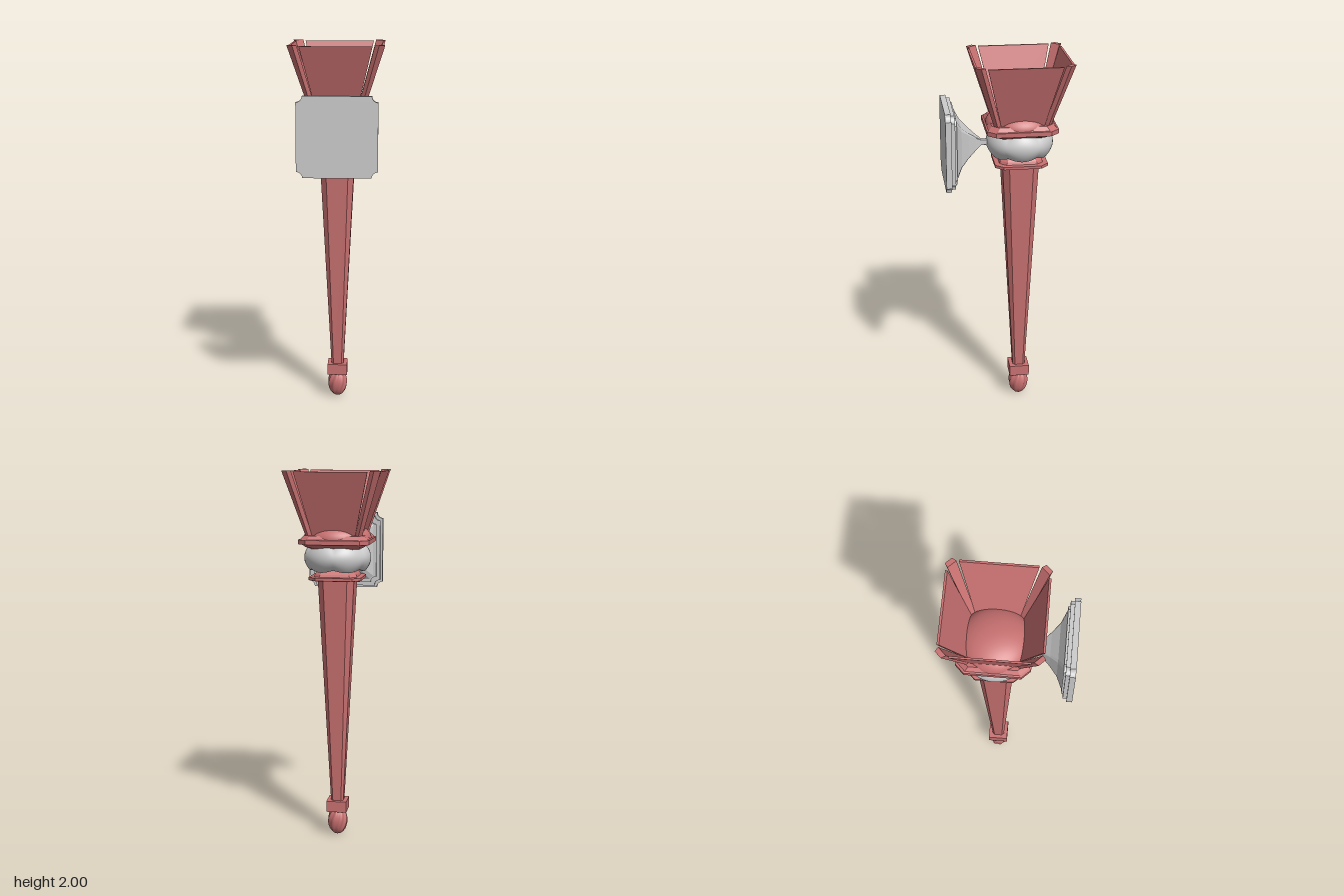
import * as THREE from 'three';

const red = new THREE.MeshStandardMaterial({ color: 0xc87070, flatShading: true });
const redSmooth = new THREE.MeshStandardMaterial({ color: 0xc87070, side: THREE.DoubleSide });
const grey = new THREE.MeshStandardMaterial({ color: 0xcccccc, flatShading: true });
const greySmooth = new THREE.MeshStandardMaterial({ color: 0xcccccc, side: THREE.DoubleSide });

const AXIS_Z = -0.075;   // torch axis
const MOUNT_X = 0.014;   // wall mount centre
const MOUNT_Y = 1.547;

function add(parent, name, geometry, material) {
  const mesh = new THREE.Mesh(geometry, material);
  mesh.name = name;
  parent.add(mesh);
  return mesh;
}

// Joins convex cross-sections (points ordered from +x towards +z), capped at both ends
function loft(rings) {
  const pos = [];
  const tri = (...pts) => pts.forEach((p) => pos.push(...p));
  const n = rings[0].length;
  for (let i = 0; i < rings.length - 1; i++) {
    for (let j = 0; j < n; j++) {
      const k = (j + 1) % n;
      const a = rings[i][j], b = rings[i][k], c = rings[i + 1][j], d = rings[i + 1][k];
      tri(a, c, b);
      tri(b, c, d);
    }
  }
  const bottom = rings[0], top = rings[rings.length - 1];
  for (let j = 1; j < n - 1; j++) {
    tri(bottom[0], bottom[j], bottom[j + 1]);
    tri(top[0], top[j + 1], top[j]);
  }
  const g = new THREE.BufferGeometry();
  g.setAttribute('position', new THREE.Float32BufferAttribute(pos, 3));
  g.computeVertexNormals();
  return g;
}

// Square section with cut corners: half size h, cut c, height y
function cutSquare(y, h, c) {
  const e = h - c;
  return [[h, -e], [h, e], [e, h], [-e, h], [-h, e], [-h, -e], [-e, -h], [e, -h]]
    .map(([x, z]) => [x, y, z]);
}
const cutLoft = (profile, cut) => loft(profile.map(([y, h]) => cutSquare(y, h, h * cut)));

// Flat slat facing +x: inner and outer distance, with half widths
function slat(y, inner, outer, wIn, wOut) {
  return [[outer, y, -wOut], [outer, y, wOut], [inner, y, wIn], [inner, y, -wIn]];
}

// Square plate with scooped corners
function scoopedPlate(h, r, depth) {
  const s = new THREE.Shape();
  s.moveTo(-h + r, -h);
  s.lineTo(h - r, -h);
  s.absarc(h, -h, r, Math.PI, Math.PI / 2, true);
  s.lineTo(h, h - r);
  s.absarc(h, h, r, -Math.PI / 2, -Math.PI, true);
  s.lineTo(-h + r, h);
  s.absarc(-h, h, r, 0, -Math.PI / 2, true);
  s.lineTo(-h, -h + r);
  s.absarc(-h, -h, r, Math.PI / 2, 0, true);
  return new THREE.ExtrudeGeometry(s, { depth, bevelEnabled: false, curveSegments: 8 });
}

// Twisted acorn finial
function finialGeometry() {
  const profile = new THREE.SplineCurve([
    [0.0005, 0], [0.022, 0.008], [0.04, 0.03], [0.05, 0.06], [0.052, 0.09], [0.045, 0.118], [0.032, 0.142],
  ].map(([r, y]) => new THREE.Vector2(r, y))).getPoints(24);
  const g = new THREE.LatheGeometry(profile, 72);
  const p = g.attributes.position;
  for (let i = 0; i < p.count; i++) {
    const x = p.getX(i), y = p.getY(i), z = p.getZ(i);
    const k = 1 + 0.07 * Math.cos(8 * Math.atan2(z, x) + y * 45);
    p.setXYZ(i, x * k, y, z * k);
  }
  g.computeVertexNormals();
  return g;
}

// Bulging band with scalloped edges
function bandGeometry() {
  const pts = [];
  for (let i = 0; i <= 12; i++) {
    const t = -1 + i / 6;
    pts.push(new THREE.Vector2(0.178 - 0.03 * t * t, t));
  }
  for (let i = 12; i >= 0; i--) {
    const t = -1 + i / 6;
    pts.push(new THREE.Vector2(0.165 - 0.03 * t * t, t));
  }
  pts.push(pts[0].clone());
  const g = new THREE.LatheGeometry(pts, 96);
  const p = g.attributes.position;
  for (let i = 0; i < p.count; i++) {
    const lobe = Math.abs(Math.cos(3 * Math.atan2(p.getZ(i), p.getX(i))));
    p.setY(i, p.getY(i) * (0.056 + 0.014 * lobe));
  }
  g.computeVertexNormals();
  return g;
}

export function createModel() {
  const model = new THREE.Group();
  const torch = new THREE.Group();
  torch.name = 'torch';
  torch.position.z = AXIS_Z;
  model.add(torch);

  // Finial, block and tapered shaft
  add(torch, 'finial', finialGeometry(), redSmooth);
  add(torch, 'finialBlock', new THREE.BoxGeometry(0.11, 0.06, 0.11), red).position.y = 0.17;
  add(torch, 'shaft', cutLoft([[0.2, 0.034], [1.43, 0.097]], 0.34), red);

  // Stepped collars and the neck between them
  add(torch, 'lowerCollar', cutLoft([
    [1.425, 0.13], [1.428, 0.14], [1.443, 0.14], [1.445, 0.115], [1.458, 0.11], [1.475, 0.095], [1.485, 0.08],
  ], 0.3), red);
  add(torch, 'neck', cutLoft([[1.48, 0.08], [1.6, 0.08]], 0.34), red);
  add(torch, 'upperCollar', cutLoft([
    [1.59, 0.12], [1.605, 0.155], [1.615, 0.165], [1.62, 0.187], [1.643, 0.187], [1.645, 0.178], [1.665, 0.16],
  ], 0.24), red);

  // Dome inside the cup
  const dome = add(torch, 'dome', new THREE.SphereGeometry(0.18, 48, 16, 0, Math.PI * 2, 0, Math.PI / 2), redSmooth);
  dome.scale.y = 0.52;
  dome.position.y = 1.643;

  // Flared cup: four panels and four corner strips
  const panel = loft([slat(1.66, 0.127, 0.139, 0.112, 0.112), slat(1.995, 0.24, 0.251, 0.19, 0.19)]);
  const strip = loft([slat(1.66, 0.172, 0.197, 0.015, 0.012), slat(2.0, 0.314, 0.339, 0.028, 0.022)]);
  for (let i = 0; i < 4; i++) {
    add(torch, 'cupPanel', panel, red).rotation.y = i * Math.PI / 2;
    add(torch, 'cupCorner', strip, red).rotation.y = (i + 0.5) * Math.PI / 2;
  }

  // Holding band
  add(torch, 'holdingBand', bandGeometry(), greySmooth).position.y = 1.541;

  // Wall mount: flared arm and stepped backplate
  const mount = new THREE.Group();
  mount.name = 'wallMount';
  mount.position.set(MOUNT_X, MOUNT_Y, 0);
  model.add(mount);
  const arm = cutLoft([
    [0.085, 0.013], [0.13, 0.015], [0.16, 0.036], [0.2, 0.068], [0.24, 0.107], [0.27, 0.16],
  ], 0.12);
  arm.rotateX(Math.PI / 2);
  add(mount, 'arm', arm, grey);
  [[0.178, 0.27, 0.01], [0.198, 0.28, 0.02], [0.21, 0.3, 0.03]].forEach(([h, z, depth]) => {
    add(mount, 'backplate', scoopedPlate(h, 0.032, depth), grey).position.z = z;
  });

  return model;
}
